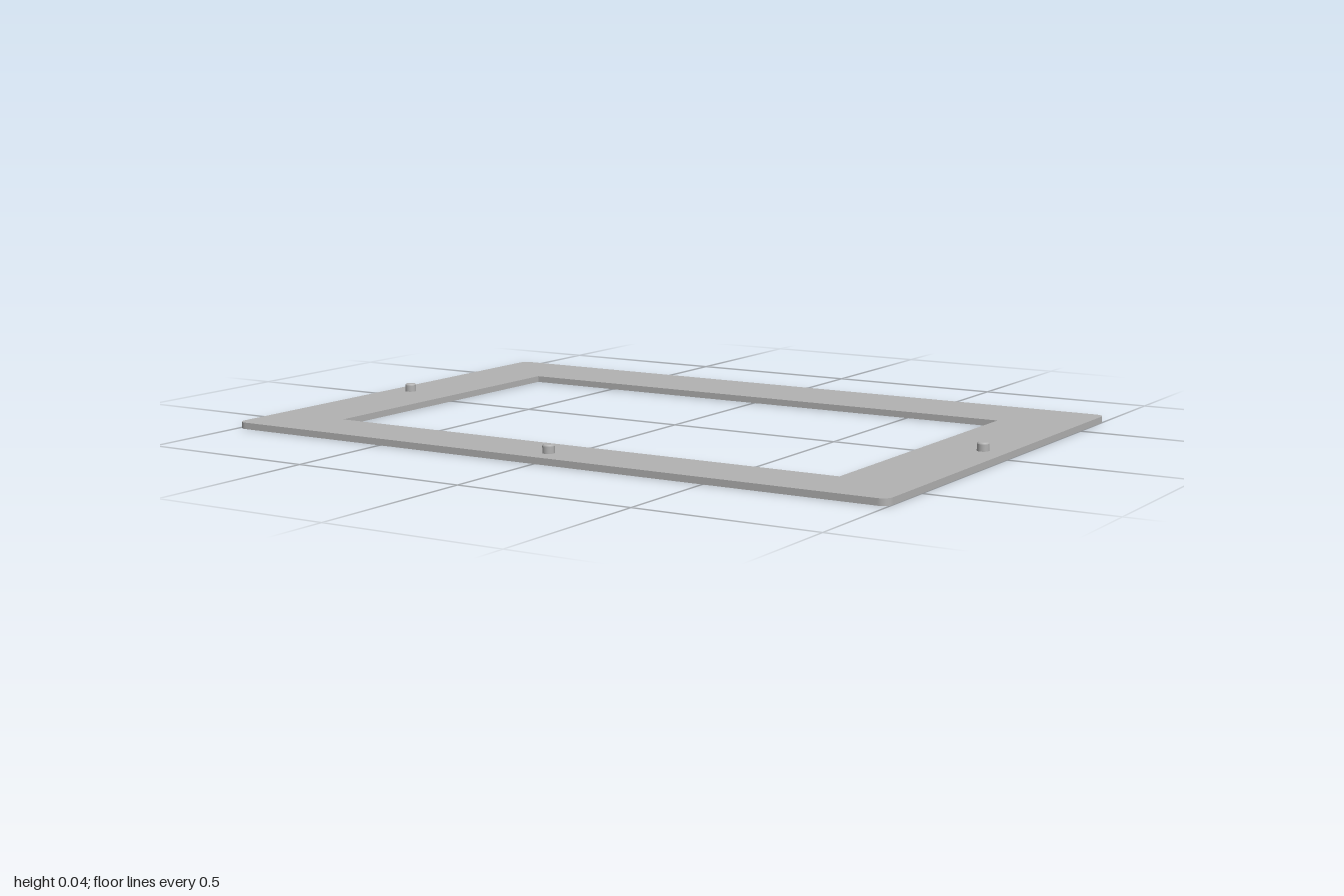
import * as THREE from 'three';

const THICKNESS = 0.018;

// Rounded rectangle outline centred on the origin
function roundedRect(w, d, r) {
  const x = w / 2, y = d / 2;
  const s = new THREE.Shape();
  s.moveTo(-x + r, -y);
  s.lineTo(x - r, -y);
  s.absarc(x - r, -y + r, r, -Math.PI / 2, 0);
  s.lineTo(x, y - r);
  s.absarc(x - r, y - r, r, 0, Math.PI / 2);
  s.lineTo(-x + r, y);
  s.absarc(-x + r, y - r, r, Math.PI / 2, Math.PI);
  s.lineTo(-x, -y + r);
  s.absarc(-x + r, -y + r, r, Math.PI, Math.PI * 1.5);
  return s;
}

export function createModel() {
  const group = new THREE.Group();
  const grey = new THREE.MeshStandardMaterial({ color: 0xb2b2b2 });
  grey.name = 'plain grey';

  // Flat plate with an off-centre rectangular window
  const outline = roundedRect(2, 1.364, 0.027);
  const opening = new THREE.Path();
  opening.moveTo(-0.778, -0.498);
  opening.lineTo(-0.778, 0.443);
  opening.lineTo(0.778, 0.443);
  opening.lineTo(0.778, -0.498);
  opening.closePath();
  outline.holes.push(opening);
  const plateGeo = new THREE.ExtrudeGeometry(outline, {
    depth: THICKNESS, bevelEnabled: false, curveSegments: 8,
  });
  plateGeo.rotateX(-Math.PI / 2);
  const plate = new THREE.Mesh(plateGeo, grey);
  plate.name = 'framePlate';
  group.add(plate);

  // Locating pegs with a softened top edge
  const r = 0.016, top = 0.041, c = 0.004;
  const profile = [
    [r, THICKNESS], [r, top - c], [r, top - c],
    [r - c * 0.3, top - c * 0.3], [r - c, top], [r - c, top], [0, top],
  ].map(([x, y]) => new THREE.Vector2(x, y));
  const pegGeo = new THREE.LatheGeometry(profile, 32);
  const pegs = { leftPeg: [0.933, 0], rightPeg: [-0.933, 0], frontPeg: [0, 0.615] };
  for (const [name, [x, z]] of Object.entries(pegs)) {
    const peg = new THREE.Mesh(pegGeo, grey);
    peg.name = name;
    peg.position.set(x, 0, z);
    group.add(peg);
  }
  return group;
}
